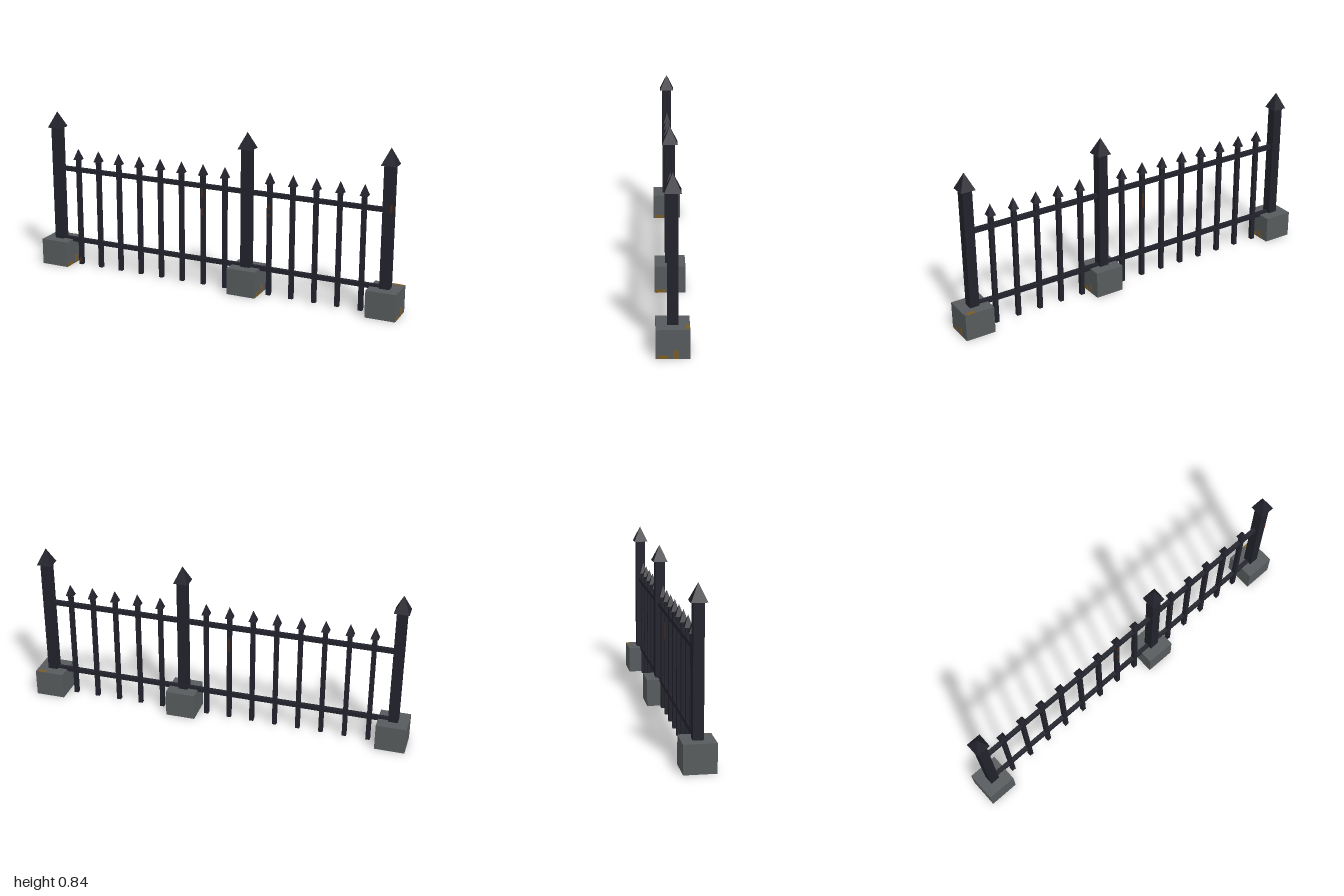
import * as THREE from 'three';

const mat = (name, color) => {
  const m = new THREE.MeshStandardMaterial({ color, flatShading: true });
  m.name = name;
  return m;
};

export function createModel() {
  const fence = new THREE.Group();
  fence.name = 'fence';
  const iron = mat('dark iron', 0x22222c);
  const stone = mat('grey stone', 0x575b5d);
  const rust = mat('rust', 0x4a2a16);
  const moss = mat('ochre stain', 0x7a5c26);

  const add = (parent, name, geo, material, x, y, z) => {
    const m = new THREE.Mesh(geo, material);
    m.name = name;
    m.position.set(x, y, z);
    parent.add(m);
    return m;
  };
  const box = (parent, name, material, x, y, z, w, h, d) =>
    add(parent, name, new THREE.BoxGeometry(w, h, d), material, x, y, z);

  // Square bar topped by a wider four-sided spike
  const spikedBar = (name, x, bottom, neck, tip, width, spikeWidth) => {
    const g = new THREE.Group();
    g.name = name;
    g.position.x = x;
    box(g, name + 'Shaft', iron, 0, (bottom + neck) / 2, 0, width, neck - bottom, width);
    const spike = new THREE.ConeGeometry(spikeWidth / Math.SQRT2, tip - neck, 4);
    spike.rotateY(Math.PI / 4);
    add(g, name + 'Spike', spike, iron, 0, (neck + tip) / 2, 0);
    fence.add(g);
    return g;
  };

  const spacing = 0.123;
  const start = -0.923;
  for (let i = 0; i <= 15; i++) {
    const x = start + i * spacing;
    if (i === 0 || i === 9 || i === 15) {
      // Post on its stone block, with stains along one lower edge
      const post = spikedBar('post', x, 0.12, 0.758, 0.842, 0.05, 0.076);
      box(post, 'stoneBase', stone, 0, 0.07, 0, 0.154, 0.14, 0.154);
      box(post, 'baseStain', moss, 0.077, 0.009, 0.045, 0.002, 0.018, 0.05);
      box(post, 'baseStain', moss, 0.077, 0.021, -0.013, 0.002, 0.042, 0.024);
    } else {
      spikedBar('picket', x, 0.003, 0.592, 0.65, 0.022, 0.04);
    }
  }

  // Horizontal rails
  for (const y of [0.14, 0.535]) box(fence, 'rail', iron, 0, y, 0, 1.846, 0.022, 0.022);

  // Rust flecks on the faces of a few bars: x, y, width, height, side
  const flecks = [
    [-0.062, 0.5, 0.012, 0.05, 1],
    [-0.062, 0.4, 0.012, 0.035, 1],
    [0.307, 0.47, 0.012, 0.03, 1],
    [0.307, 0.43, 0.012, 0.02, 1],
    [-0.8, 0.03, 0.012, 0.025, 1],
    [-0.062, 0.44, 0.012, 0.08, -1],
  ];
  for (const [x, y, w, h, s] of flecks) box(fence, 'rustFleck', rust, x, y, s * 0.011, w, h, 0.002);
  box(fence, 'rustFleck', rust, 0.941, 0.55, 0.025, 0.012, 0.04, 0.002);
  box(fence, 'topStain', moss, 0.965, 0.14, -0.066, 0.045, 0.002, 0.02);

  return fence;
}
